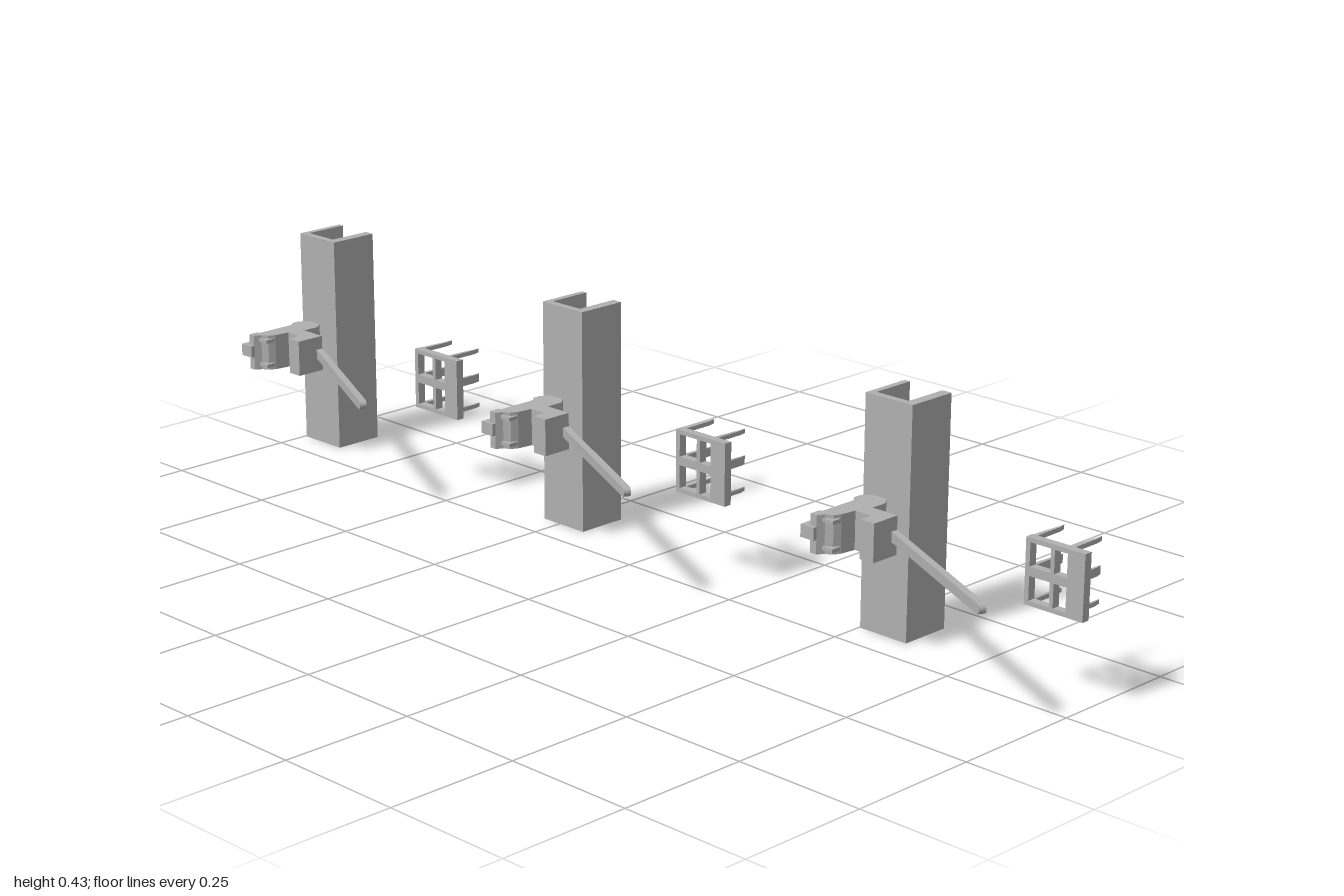
import * as THREE from 'three';

const steel = new THREE.MeshStandardMaterial({ color: 0xb0b0b0 });
steel.name = 'grey steel';

// Vertical prism: plan outline given as [x, z] pairs, between heights y0 and y1
function prism(name, plan, y0, y1) {
  const shape = new THREE.Shape(plan.map(([x, z]) => new THREE.Vector2(x, -z)));
  const geo = new THREE.ExtrudeGeometry(shape, { depth: y1 - y0, bevelEnabled: false });
  geo.rotateX(-Math.PI / 2);
  geo.translate(0, y0, 0);
  const mesh = new THREE.Mesh(geo, steel);
  mesh.name = name;
  return mesh;
}

function block(name, x0, x1, y0, y1, z0, z1) {
  const mesh = new THREE.Mesh(new THREE.BoxGeometry(x1 - x0, y1 - y0, z1 - z0), steel);
  mesh.position.set((x0 + x1) / 2, (y0 + y1) / 2, (z0 + z1) / 2);
  mesh.name = name;
  return mesh;
}

// Upright channel, open to the back
function makePost() {
  return prism('channelPost', [
    [0.004, -0.163], [0.016, -0.163], [0.016, -0.077], [0.088, -0.077],
    [0.088, -0.163], [0.108, -0.163], [0.108, -0.063], [0.004, -0.063],
  ], 0, 0.425);
}

// Clamp body with hooked side arm, front stub and small lugs
function makeClamp() {
  const g = new THREE.Group();
  g.name = 'clamp';
  g.add(prism('clampBody', [
    [0.012, -0.045], [0.025, -0.062], [0.057, -0.062], [0.07, -0.045], [0.07, -0.012],
    [0.125, -0.012], [0.125, 0.047], [0.095, 0.047], [0.095, 0.02], [0.06, 0.02],
    [0.056, 0.05], [0.05, 0.063], [0.037, 0.07], [0.03, 0.083], [0.016, 0.083],
    [0.016, 0.063], [0.022, 0.058], [0.022, -0.018], [0.012, -0.03],
  ], 0.178, 0.248));
  g.add(block('frontStub', 0, 0.03, 0.204, 0.227, 0.063, 0.09));
  for (const y of [0.185, 0.235]) g.add(block('lug', 0.035, 0.058, y, y + 0.007, 0.054, 0.074));
  return g;
}

// Slanted flat bar with a rounded tip
function makeBar() {
  const r = 0.009, len = 0.432;
  const s = new THREE.Shape();
  s.moveTo(0, -r);
  s.lineTo(len - r, -r);
  s.absarc(len - r, 0, r, -Math.PI / 2, Math.PI / 2, false);
  s.lineTo(0, r);
  const geo = new THREE.ExtrudeGeometry(s, { depth: 0.013, bevelEnabled: false, curveSegments: 5 });
  geo.translate(0, 0, -0.0065);
  const bar = new THREE.Mesh(geo, steel);
  bar.position.set(0.063, 0.2135, -0.036);
  bar.rotation.y = -Math.atan2(0.192, 0.384);
  bar.name = 'latchBar';
  return bar;
}

// Catch frame with tapered prongs pointing backwards
function makeCatch() {
  const g = new THREE.Group();
  g.name = 'catchFrame';
  const z0 = -0.047, z1 = -0.031;
  for (const [x0, x1] of [[0.382, 0.391], [0.433, 0.441], [0.467, 0.502]]) {
    g.add(block('framePost', x0, x1, 0.155, 0.272, z0, z1));
  }
  for (const [y0, y1] of [[0.155, 0.163], [0.206, 0.222], [0.264, 0.272]]) {
    g.add(block('frameRail', 0.386, 0.48, y0, y1, z0, z1));
    for (const x of [0.384, 0.461]) {
      g.add(prism('prong', [[x, z0], [x + 0.009, z0], [x + 0.009, -0.105], [x + 0.006, -0.119]], y0, y1));
    }
  }
  return g;
}

export function createModel() {
  const model = new THREE.Group();
  model.name = 'latchSet';
  for (const x of [-1, -0.295, 0.498]) {
    const unit = new THREE.Group();
    unit.name = 'latchUnit';
    unit.add(makePost(), makeClamp(), makeBar(), makeCatch());
    unit.position.x = x;
    model.add(unit);
  }
  return model;
}
